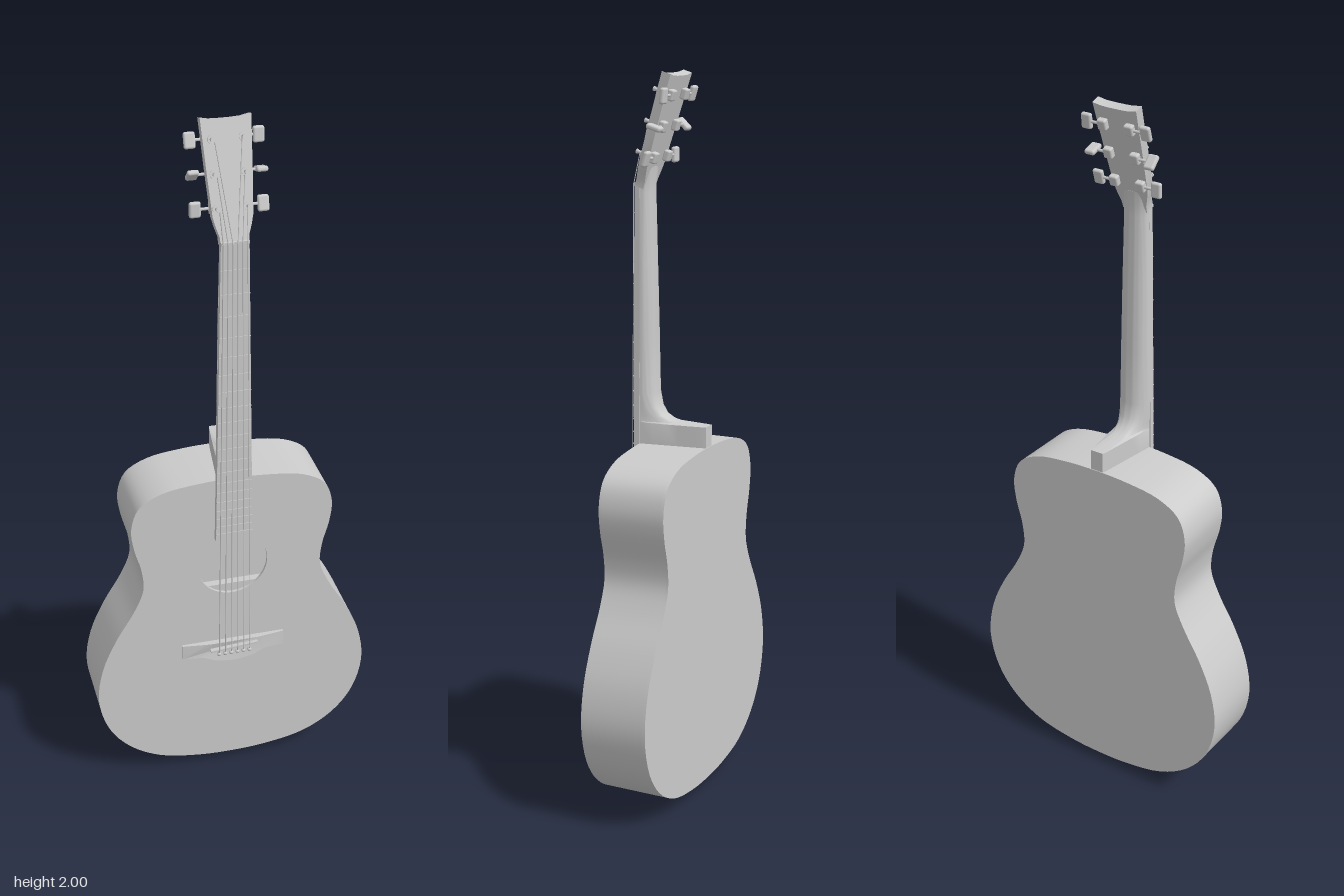
import * as THREE from 'three';
import { toCreasedNormals } from 'three/addons/utils/BufferGeometryUtils.js';
import { RoundedBoxGeometry } from 'three/addons/geometries/RoundedBoxGeometry.js';

const mat = new THREE.MeshStandardMaterial({ color: 0xcccccc, side: THREE.DoubleSide });
const V = (x, y, z) => new THREE.Vector3(x, y, z);

function add(parent, name, geo, x = 0, y = 0, z = 0) {
  const m = new THREE.Mesh(geo, mat);
  m.name = name;
  m.position.set(x, y, z);
  parent.add(m);
  return m;
}

// Cylinder between two points
function rod(parent, name, a, b, r, sides = 6) {
  const d = b.clone().sub(a);
  const m = add(parent, name, new THREE.CylinderGeometry(r, r, d.length(), sides));
  m.position.copy(a).addScaledVector(d, 0.5);
  m.quaternion.setFromUnitVectors(V(0, 1, 0), d.normalize());
  return m;
}

const extrude = (shape, depth) =>
  toCreasedNormals(new THREE.ExtrudeGeometry(shape, { depth, bevelEnabled: false, curveSegments: 40 }), 0.5);

// Mirrored closed shape from right-hand points listed bottom to top
function mirrored(half) {
  const left = half.filter(p => p[0] > 0).reverse().map(([x, y]) => [-x, y]);
  return new THREE.Shape([...half, ...left].map(([x, y]) => new THREE.Vector2(x, y)));
}

// Body outline, inset towards the inside by d
function bodyPoints(d = 0) {
  const half = [[0, 0.025], [0.1, 0.03], [0.22, 0.055], [0.31, 0.11], [0.37, 0.19], [0.397, 0.3], [0.381, 0.41],
    [0.338, 0.51], [0.285, 0.6], [0.257, 0.67], [0.261, 0.74], [0.279, 0.81], [0.285, 0.88], [0.262, 0.943],
    [0.2, 0.98], [0.1, 0.996], [0, 1]];
  const left = half.slice(1, -1).reverse().map(([x, y]) => [-x, y]);
  const curve = new THREE.CatmullRomCurve3([...half, ...left].map(([x, y]) => V(x, y, 0)), true);
  const pts = curve.getPoints(128).slice(0, -1);
  return pts.map((p, i) => {
    const t = curve.getTangent(i / 128);
    return new THREE.Vector2(p.x - t.y * d, p.y + t.x * d);
  });
}

function buildBody(g) {
  const top = new THREE.Shape(bodyPoints());
  top.holes.push(new THREE.Path().absarc(0, 0.717, 0.1, 0, Math.PI * 2, true));
  add(g, 'soundboard', extrude(top, 0.008), 0, 0, 0.072);
  add(g, 'backPlate', extrude(new THREE.Shape(bodyPoints()), 0.008), 0, 0, -0.11);
  const rim = new THREE.Shape(bodyPoints());
  rim.holes.push(new THREE.Path(bodyPoints(0.008)));
  add(g, 'sides', extrude(rim, 0.174), 0, 0, -0.102);
  add(g, 'brace', new THREE.BoxGeometry(0.5, 0.016, 0.022), 0, 0.636, 0.061);

  // End pin on the bottom of the body
  const pin = [[0, 0], [0.008, 0.001], [0.011, 0.007], [0.007, 0.013], [0.006, 0.018], [0.011, 0.02], [0.011, 0.03]];
  add(g, 'endPin', new THREE.LatheGeometry(pin.map(p => new THREE.Vector2(...p)), 16));
}

function buildBridge(g) {
  const shape = mirrored([[0, 0.386], [0.03, 0.388], [0.06, 0.396], [0.09, 0.409], [0.15, 0.409],
    [0.15, 0.455], [0.09, 0.455], [0.07, 0.455], [0.03, 0.455], [0, 0.455]]);
  const geo = new THREE.ExtrudeGeometry(shape, { depth: 0.02, bevelEnabled: false });
  const p = geo.attributes.position;
  // Thin wings, thick middle
  for (let i = 0; i < p.count; i++) {
    if (p.getZ(i) > 0.01) p.setZ(i, 0.017 - 0.01 * THREE.MathUtils.smoothstep(Math.abs(p.getX(i)), 0.06, 0.15));
  }
  add(g, 'bridge', toCreasedNormals(geo, 0.5), 0, 0, 0.08);
  add(g, 'saddle', new THREE.BoxGeometry(0.14, 0.006, 0.014), 0, 0.438, 0.099).rotation.z = 0.07;
  for (let i = 0; i < 6; i++) {
    const x = (i - 2.5) * 0.018;
    rod(g, 'bridgePin', V(x, 0.419, 0.09), V(x, 0.419, 0.102), 0.004, 10);
    const head = add(g, 'bridgePinHead', new THREE.SphereGeometry(0.006, 12, 8), x, 0.419, 0.102);
    head.scale.z = 0.7;
  }
}

// Neck lofted through sections: y, half width, front z, back z, heel shape 0..1
function neckGeometry() {
  const rows = [[0.99, 0.045, 0.08, -0.108, 1], [1.058, 0.045, 0.08, -0.108, 1], [1.061, 0.045, 0.08, -0.02, 1],
    [1.066, 0.045, 0.08, 0.0, 0.8], [1.078, 0.045, 0.08, 0.02, 0.5], [1.1, 0.046, 0.08, 0.034, 0.2],
    [1.14, 0.046, 0.08, 0.043, 0], [1.3, 0.044, 0.08, 0.046, 0], [1.5, 0.041, 0.08, 0.051, 0],
    [1.68, 0.037, 0.08, 0.055, 0], [1.71, 0.037, 0.077, 0.055, 0], [1.75, 0.043, 0.066, 0.051, 0]];
  const N = 20, pos = [], idx = [];
  for (const [y, w, f, b, k] of rows) {
    for (let i = 0; i <= N; i++) {
      const c = Math.cos(Math.PI * i / N), s = Math.sin(Math.PI * i / N), u = Math.min(1, 1.3 * s);
      const heelX = THREE.MathUtils.clamp(1.6 * c, -1, 1) * (1 - 0.55 * u);
      pos.push(w * THREE.MathUtils.lerp(c, heelX, k), y, f - (f - b) * THREE.MathUtils.lerp(s, u, k));
    }
  }
  const M = N + 1, last = (rows.length - 1) * M;
  for (let r = 0; r < rows.length - 1; r++) {
    for (let i = 0; i < M; i++) {
      const a = r * M + i, b = r * M + (i + 1) % M;
      idx.push(a, b, a + M, b, b + M, a + M);
    }
  }
  for (let i = 1; i < N; i++) idx.push(0, i + 1, i, last, last + i, last + i + 1);
  const geo = new THREE.BufferGeometry();
  geo.setAttribute('position', new THREE.Float32BufferAttribute(pos, 3));
  geo.setIndex(idx);
  return toCreasedNormals(geo, 0.7);
}

function buildNeck(g) {
  add(g, 'neck', neckGeometry());
  add(g, 'fretboard', extrude(mirrored([[0.052, 0.81], [0.037, 1.7]]), 0.016), 0, 0, 0.08);
  for (let n = 1; n <= 20; n++) {
    const y = 1.7 - 1.265 * (1 - 2 ** (-n / 12));
    const w = THREE.MathUtils.mapLinear(y, 0.81, 1.7, 0.104, 0.074);
    add(g, 'fret', new THREE.BoxGeometry(w, 0.003, 0.003), 0, y, 0.0965);
  }
  add(g, 'nut', new THREE.BoxGeometry(0.074, 0.008, 0.022), 0, 1.703, 0.089);
}

const tunerY = [0.09, 0.175, 0.26];
const postX = 0.04;

// Tilted headstock; its front face lies on local z = 0
function buildHeadstock(g) {
  const head = new THREE.Group();
  head.name = 'headstock';
  head.position.set(0, 1.7, 0.095);
  head.rotation.x = -0.305;
  g.add(head);
  const shape = mirrored([[0.037, 0], [0.038, 0.02], [0.046, 0.045], [0.052, 0.07], [0.058, 0.17],
    [0.065, 0.314], [0.04, 0.309], [0.015, 0.308], [0, 0.308]]);
  add(head, 'headstockPlate', extrude(shape, 0.026), 0, 0, -0.026);

  const turns = { '1': [0, 1.57, 0.2], '-1': [0.3, 1.1, 0] };
  for (const s of [1, -1]) {
    tunerY.forEach((y, i) => {
      const x = s * postX;
      rod(head, 'tunerBushing', V(x, y, 0), V(x, y, 0.003), 0.011, 16);
      rod(head, 'tunerPost', V(x, y, 0), V(x, y, 0.02), 0.005, 12);
      rod(head, 'tunerPostCap', V(x, y, 0.016), V(x, y, 0.02), 0.0065, 12);
      add(head, 'tunerHousing', new RoundedBoxGeometry(0.026, 0.03, 0.018, 2, 0.005), x, y, -0.034);
      rod(head, 'tunerShaft', V(x, y, -0.034), V(s * 0.08, y, -0.034), 0.004, 10);
      const button = add(head, 'tunerButton', new RoundedBoxGeometry(0.03, 0.042, 0.014, 3, 0.006), s * 0.088, y, -0.034);
      button.rotation.x = turns[s][i];
    });
  }
  head.updateMatrixWorld(true);
  return head;
}

function buildStrings(g, head) {
  for (let i = 0; i < 6; i++) {
    const k = i - 2.5, r = 0.0022 - i * 0.0002;
    const pin = V(k * 0.018, 0.42, 0.1), saddle = V(k * 0.018, 0.438, 0.107), nut = V(k * 0.0125, 1.703, 0.101);
    const side = Math.sign(k), slot = side < 0 ? i : 5 - i;
    const post = V(side * (postX - 0.005), tunerY[slot], 0.012).applyMatrix4(head.matrix);
    rod(g, 'stringEnd', pin, saddle, r);
    rod(g, 'string', saddle, nut, r);
    rod(g, 'stringHead', nut, post, r);
  }
}

export function createModel() {
  const g = new THREE.Group();
  g.name = 'acousticGuitar';
  buildBody(g);
  buildBridge(g);
  buildNeck(g);
  buildStrings(g, buildHeadstock(g));
  return g;
}
